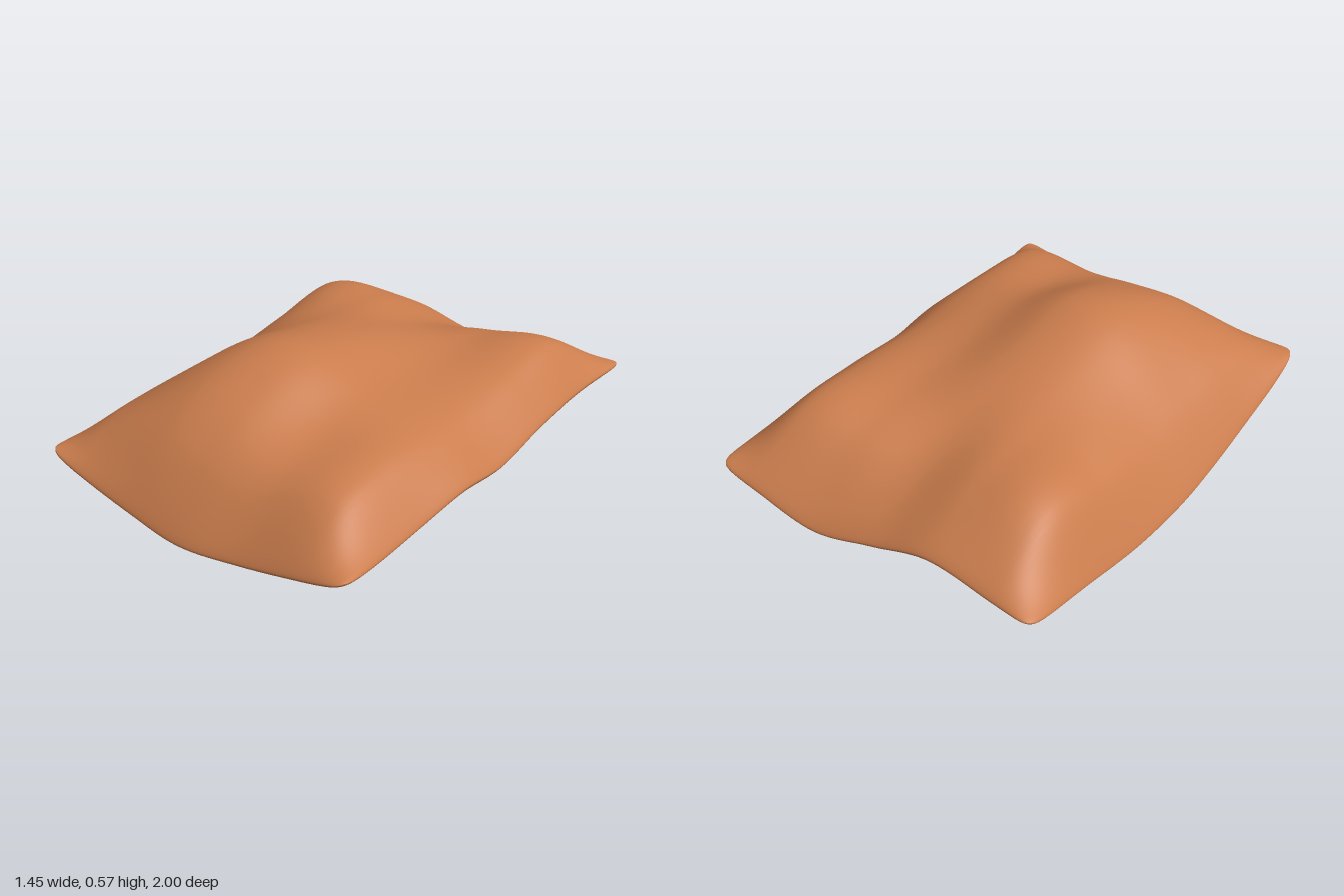
import * as THREE from 'three';
import { mergeVertices, mergeGeometries } from 'three/addons/utils/BufferGeometryUtils.js';

// Knots across the width (u) and from back to front (v), both -1..1
const U = [-1, -0.76, -0.35, 0, 0.35, 0.76, 1];
const V = [-1, -0.67, -0.31, 0, 0.26, 0.52, 0.77, 1];

// Seam heights around the cushion
const backRim = [0.2, 0.215, 0.24, 0.175, 0.133, 0.195, 0.23];
const frontRim = [0.23, 0.195, 0.147, 0.118, 0.13, 0.18, 0.22];
const rightRim = [0.2, 0.14, 0.085, 0.08, 0.1, 0.14, 0.19, 0.23];
const leftRim = [0.23, 0.24, 0.235, 0.205, 0.23, 0.21, 0.2, 0.22];

// Heights inside the seam, rows from back to front
const topRows = [
  [0.39, 0.41, 0.35, 0.375, 0.405],
  [0.35, 0.455, 0.46, 0.42, 0.395],
  [0.315, 0.505, 0.53, 0.44, 0.37],
  [0.33, 0.545, 0.57, 0.465, 0.385],
  [0.35, 0.505, 0.5, 0.42, 0.39],
  [0.325, 0.385, 0.365, 0.35, 0.355],
];
const bottomRows = [
  [0.09, 0.09, 0.085, 0.085, 0.11],
  [0.045, 0.035, 0.05, 0.08, 0.105],
  [0.015, 0.005, 0.04, 0.075, 0.1],
  [0.04, 0.035, 0.055, 0.08, 0.105],
  [0.07, 0.06, 0.072, 0.08, 0.115],
  [0.13, 0.095, 0.09, 0.09, 0.13],
];

// Outline seen from above
const backZ = [-0.955, -0.945, -0.937, -0.955, -0.99, -1, -1];
const frontZ = [0.93, 0.952, 0.98, 0.998, 0.978, 0.97, 0.97];
const rightX = [-0.712, -0.712, -0.722, -0.728, -0.722, -0.714, -0.708, -0.69];
const leftX = [0.718, 0.705, 0.715, 0.724, 0.722, 0.712, 0.71, 0.722];

const HALF_SEAM = 0.025;

// Smooth curve through unevenly spaced knots
function curve(knots, values, t) {
  const n = knots.length;
  let i = 0;
  while (i < n - 2 && t > knots[i + 1]) i++;
  const slope = (k) => {
    const a = Math.max(k - 1, 0), b = Math.min(k + 1, n - 1);
    return (values[b] - values[a]) / (knots[b] - knots[a]);
  };
  const h = knots[i + 1] - knots[i], s = (t - knots[i]) / h;
  const s2 = s * s, s3 = s2 * s;
  return (2 * s3 - 3 * s2 + 1) * values[i] + (s3 - 2 * s2 + s) * h * slope(i)
    + (3 * s2 - 2 * s3) * values[i + 1] + (s3 - s2) * h * slope(i + 1);
}

// One skin of the cushion: side = 1 for the top, -1 for the underside
function skin(inner, side) {
  const rows = [
    backRim,
    ...inner.map((r, j) => [rightRim[j + 1], ...r.map((y) => y - side * HALF_SEAM), leftRim[j + 1]]),
    frontRim,
  ];
  const N = 72, positions = [], index = [];
  for (let j = 0; j <= N; j++) {
    // Samples gather towards the seam so that it rounds over smoothly
    const v = Math.sin((j / N - 0.5) * Math.PI);
    for (let i = 0; i <= N; i++) {
      const u = Math.sin((i / N - 0.5) * Math.PI);
      const corner = 1 - 0.025 * Math.pow(u * v, 24);
      const x = THREE.MathUtils.lerp(curve(V, rightX, v), curve(V, leftX, v), (u + 1) / 2);
      const z = THREE.MathUtils.lerp(curve(U, backZ, u), curve(U, frontZ, u), (v + 1) / 2);
      const round = Math.sqrt(Math.max(0, (1 - Math.pow(u, 16)) * (1 - Math.pow(v, 16))));
      const y = curve(V, rows.map((r) => curve(U, r, u)), v) + side * HALF_SEAM * round;
      positions.push(x * corner, y, z * corner);
      if (i < N && j < N) {
        const a = j * (N + 1) + i, b = a + 1, c = a + N + 1, d = c + 1;
        if (side > 0) index.push(a, c, b, b, c, d);
        else index.push(a, b, c, b, d, c);
      }
    }
  }
  const g = new THREE.BufferGeometry();
  g.setAttribute('position', new THREE.Float32BufferAttribute(positions, 3));
  g.setIndex(index);
  return g;
}

export function createModel() {
  const group = new THREE.Group();
  group.name = 'cushion';

  // Both skins joined along the seam
  const geometry = mergeVertices(mergeGeometries([skin(topRows, 1), skin(bottomRows, -1)]), 1e-4);
  geometry.computeVertexNormals();
  geometry.computeBoundingBox();
  geometry.translate(0, -geometry.boundingBox.min.y, 0);

  const pillow = new THREE.Mesh(geometry, new THREE.MeshStandardMaterial({ color: 0xcb7d4d }));
  pillow.name = 'pillow';
  group.add(pillow);
  return group;
}
